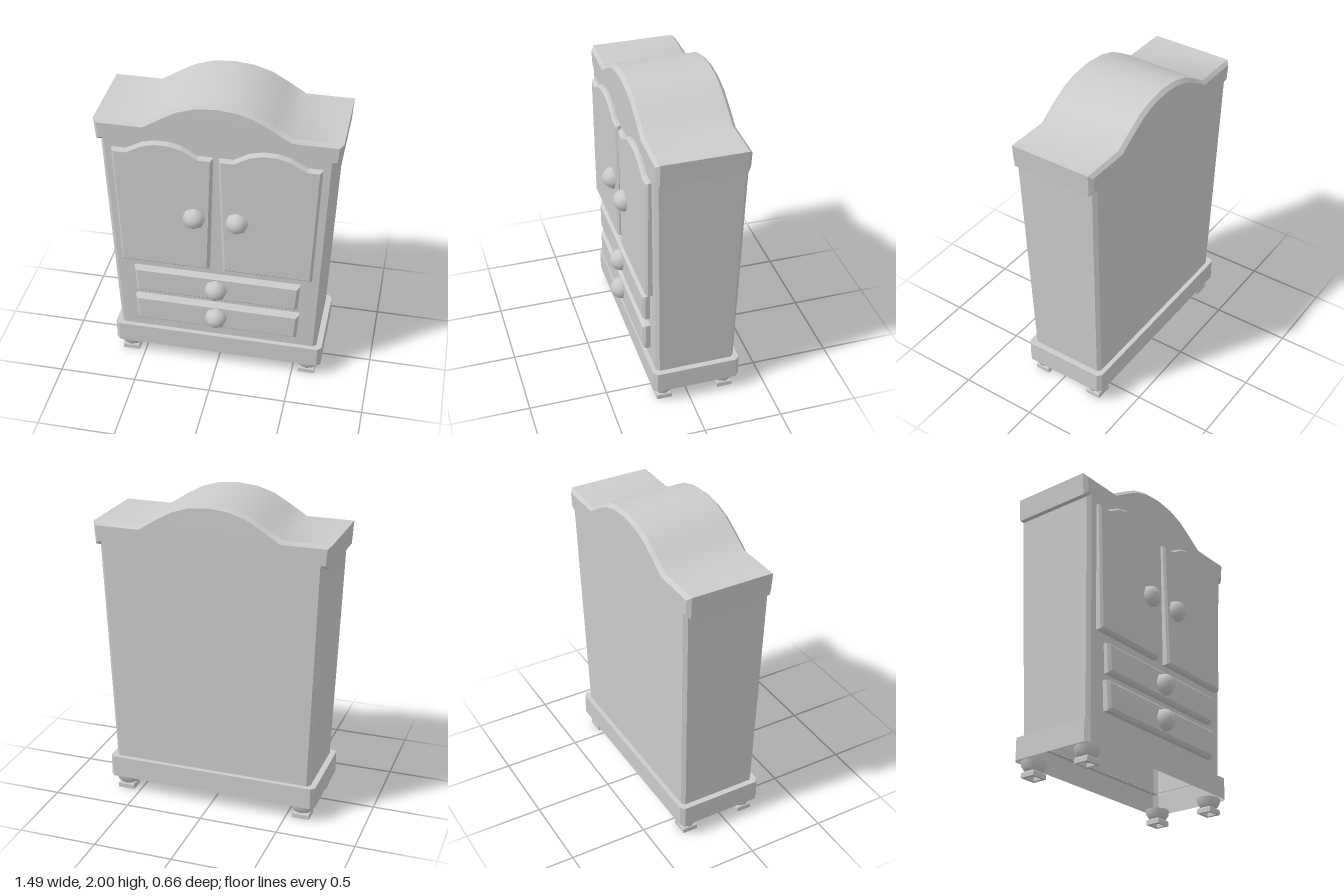
import * as THREE from 'three';
import { toCreasedNormals } from 'three/addons/utils/BufferGeometryUtils.js';

const material = new THREE.MeshStandardMaterial({ color: 0xcccccc, side: THREE.DoubleSide });
const flatMaterial = new THREE.MeshStandardMaterial({ color: 0xcccccc, side: THREE.DoubleSide, flatShading: true });

// Slab with chamfered edges, its outline drawn in x/y, running from z0 to z1
function bevelSlab(points, z0, z1, bevel) {
  const shape = new THREE.Shape(points.map(([x, y]) => new THREE.Vector2(x, y)));
  const geometry = new THREE.ExtrudeGeometry(shape, {
    depth: z1 - z0 - 2 * bevel,
    bevelThickness: bevel,
    bevelSize: bevel,
    bevelOffset: -bevel,
    bevelSegments: 1,
  });
  return geometry.translate(0, 0, z0 + bevel);
}

function add(parent, name, geometry, mat = material) {
  const mesh = new THREE.Mesh(geometry, mat);
  mesh.name = name;
  parent.add(mesh);
  return mesh;
}

// Mirrors a half outline (bottom to top, right side) into a full one
function mirrorOutline(half) {
  const left = half.filter(([x]) => x > 0).reverse().map(([x, y]) => [-x, y]);
  return [...half, ...left];
}

// Carcass and arched cornice: one profile that deepens towards the top, open below
function carcassGeometry() {
  const outline = mirrorOutline([
    [0.652, 0.22], [0.706, 1.68], [0.737, 1.68], [0.747, 1.825], [0.45, 1.825],
    [0.34, 1.895], [0.24, 1.952], [0.13, 1.987], [0, 2.0],
  ]);
  const geometry = bevelSlab(outline, -0.283, 0.283, 0.022);
  const p = geometry.attributes.position;
  const kept = [];
  for (let i = 0; i < p.count; i += 3) {
    if (Math.max(p.getY(i), p.getY(i + 1), p.getY(i + 2)) < 0.26) continue;
    for (let j = i; j < i + 3; j++) {
      const t = Math.min(1, (p.getY(j) - 0.24) / 1.58);
      kept.push(p.getX(j), p.getY(j), -0.046 + p.getZ(j) * (0.9 + 0.1 * t));
    }
  }
  const open = new THREE.BufferGeometry();
  open.setAttribute('position', new THREE.Float32BufferAttribute(kept, 3));
  return toCreasedNormals(open, 0.6);
}

// Plinth: chamfered rectangular loops for the wall and the ledge on top
function plinthGeometry() {
  const loops = [[0.69, 0.283, 0.1], [0.69, 0.283, 0.24], [0.648, 0.252, 0.24]];
  const c = 0.025;
  const positions = [];
  const index = [];
  loops.forEach(([w, d, y], k) => {
    const corners = [[w, d - c], [w - c, d], [c - w, d], [-w, d - c], [-w, c - d], [c - w, -d], [w - c, -d], [w, c - d]];
    corners.forEach(([x, z], i) => {
      positions.push(x, y, z - 0.046);
      if (k === 0) return;
      const n = (i + 1) % 8;
      const a = (k - 1) * 8 + i, b = (k - 1) * 8 + n;
      index.push(a, a + 8, b, b, a + 8, b + 8);
    });
  });
  const geometry = new THREE.BufferGeometry();
  geometry.setAttribute('position', new THREE.Float32BufferAttribute(positions, 3));
  geometry.setIndex(index);
  geometry.computeVertexNormals();
  return geometry;
}

export function createModel() {
  const model = new THREE.Group();
  model.name = 'wardrobe';

  add(model, 'carcass', carcassGeometry());
  add(model, 'plinth', plinthGeometry(), flatMaterial);

  // Round knobs, facing forward
  const knobGeometry = new THREE.SphereGeometry(0.074, 8, 4, 0, Math.PI * 2, 0, Math.PI / 2).rotateX(Math.PI / 2);
  const addKnob = (name, x, y) => add(model, name, knobGeometry).position.set(x, y, 0.257);

  // Arched doors
  const doorOutline = [
    [0.045, 0.815], [0.607, 0.815], [0.637, 1.647], [0.55, 1.647], [0.45, 1.702],
    [0.37, 1.723], [0.28, 1.723], [0.2, 1.702], [0.105, 1.647], [0.017, 1.647],
  ];
  for (const [side, s] of [['left', 1], ['right', -1]]) {
    const outline = doorOutline.map(([x, y]) => [s * x, y]);
    add(model, side + 'Door', bevelSlab(outline, 0.195, 0.265, 0.014), flatMaterial);
    addKnob(side + 'DoorKnob', s * 0.133, 1.208);
  }

  // Drawers, slightly narrower at the bottom
  for (const [name, y, knobY] of [['upperDrawer', 0.565, 0.657], ['lowerDrawer', 0.33, 0.426]]) {
    const outline = mirrorOutline([[0.522, y], [0.535, y + 0.188]]);
    add(model, name, bevelSlab(outline, 0.18, 0.26, 0.017), flatMaterial);
    addKnob(name + 'Knob', 0, knobY);
  }

  // Bun feet on hollow square pads
  const v = (x, y) => new THREE.Vector2(x, y);
  const bunGeometry = new THREE.LatheGeometry(
    [v(0.04, 0.032), v(0.058, 0.042), v(0.076, 0.066), v(0.083, 0.1)], 8);
  const padGeometry = new THREE.LatheGeometry(
    [v(0, 0.025), v(0.052, 0.025), v(0.052, 0), v(0.078, 0), v(0.078, 0.028), v(0.07, 0.036), v(0, 0.036)], 4, Math.PI / 4);
  for (const x of [-0.597, 0.597]) {
    for (const z of [-0.245, 0.157]) {
      const foot = new THREE.Group();
      foot.name = (z > 0 ? 'front' : 'back') + (x > 0 ? 'Left' : 'Right') + 'Foot';
      add(foot, 'bun', bunGeometry).scale.z = 0.9;
      add(foot, 'pad', padGeometry, flatMaterial).scale.z = 0.88;
      foot.position.set(x, 0, z);
      model.add(foot);
    }
  }
  return model;
}
